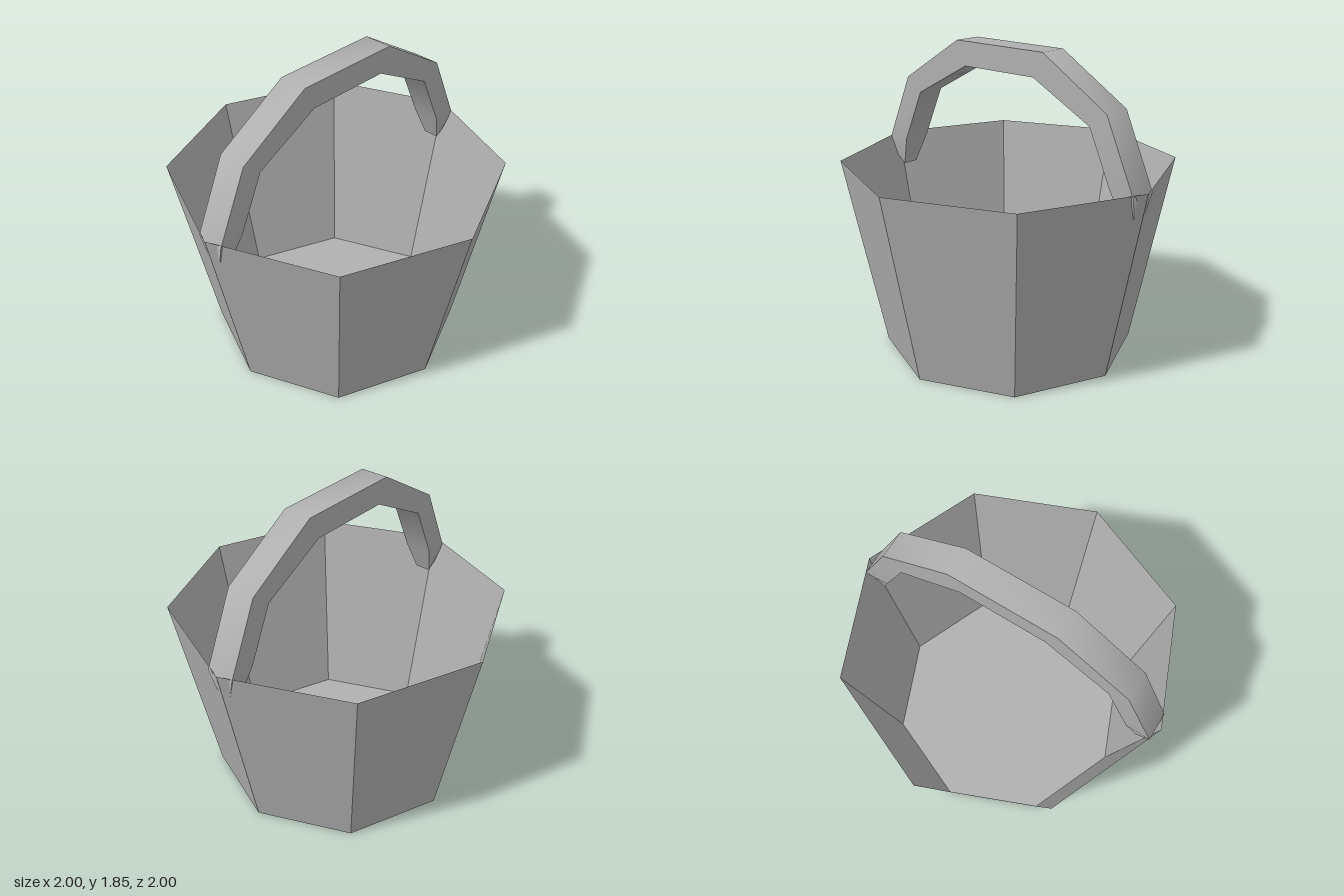
import * as THREE from 'three';

// Handle stations on the +x half: outer x, y, inner x, y, half depth in z
const HALF = [
  [0.955, 1.03, 0.885, 0.98, 0.05],
  [0.97, 1.15, 0.815, 1.165, 0.088],
  [0.78, 1.575, 0.668, 1.49, 0.088],
  [0.333, 1.85, 0.265, 1.703, 0.088],
];
const HANDLE_Z = 0.006;

function handleGeometry() {
  const left = HALF.map(([ox, oy, ix, iy, d]) => [-ox, oy, -ix, iy, d]);
  const stations = [...left, ...[...HALF].reverse()];
  // Four corners per station: outer front, outer back, inner back, inner front
  const rings = stations.map(([ox, oy, ix, iy, d]) => [
    [ox, oy, HANDLE_Z + d], [ox, oy, HANDLE_Z - d],
    [ix, iy, HANDLE_Z - d], [ix, iy, HANDLE_Z + d],
  ]);
  const pos = [], index = [];
  // Each side is its own strip: smooth along the arc, sharp at the long edges
  for (let c = 0; c < 4; c++) {
    const base = pos.length / 3;
    rings.forEach((r) => pos.push(...r[c], ...r[(c + 1) % 4]));
    for (let i = 0; i < rings.length - 1; i++) {
      const a = base + i * 2;
      index.push(a, a + 2, a + 1, a + 1, a + 2, a + 3);
    }
  }
  // End caps
  for (const ring of [rings[0], [...rings[rings.length - 1]].reverse()]) {
    const base = pos.length / 3;
    ring.forEach((p) => pos.push(...p));
    index.push(base, base + 1, base + 2, base, base + 2, base + 3);
  }
  const geo = new THREE.BufferGeometry();
  geo.setAttribute('position', new THREE.Float32BufferAttribute(pos, 3));
  geo.setIndex(index);
  geo.computeVertexNormals();
  return geo;
}

export function createModel() {
  const group = new THREE.Group();
  group.name = 'bucket';
  const grey = new THREE.MeshStandardMaterial({ color: 0xb0b0b0, side: THREE.DoubleSide });
  grey.name = 'grey';

  // Thin eight-sided tapered wall, open at the top
  const height = 1.165;
  const wallGeo = new THREE.CylinderGeometry(1, 0.762, height, 8, 1, true).toNonIndexed();
  wallGeo.computeVertexNormals();
  const wall = new THREE.Mesh(wallGeo, grey);
  wall.name = 'wall';
  wall.position.y = height / 2;

  // Flat base, facing down
  const base = new THREE.Mesh(new THREE.CircleGeometry(0.762, 8), grey);
  base.name = 'base';
  base.rotation.x = Math.PI / 2;

  const handle = new THREE.Mesh(handleGeometry(), grey);
  handle.name = 'handle';

  group.add(wall, base, handle);
  return group;
}
